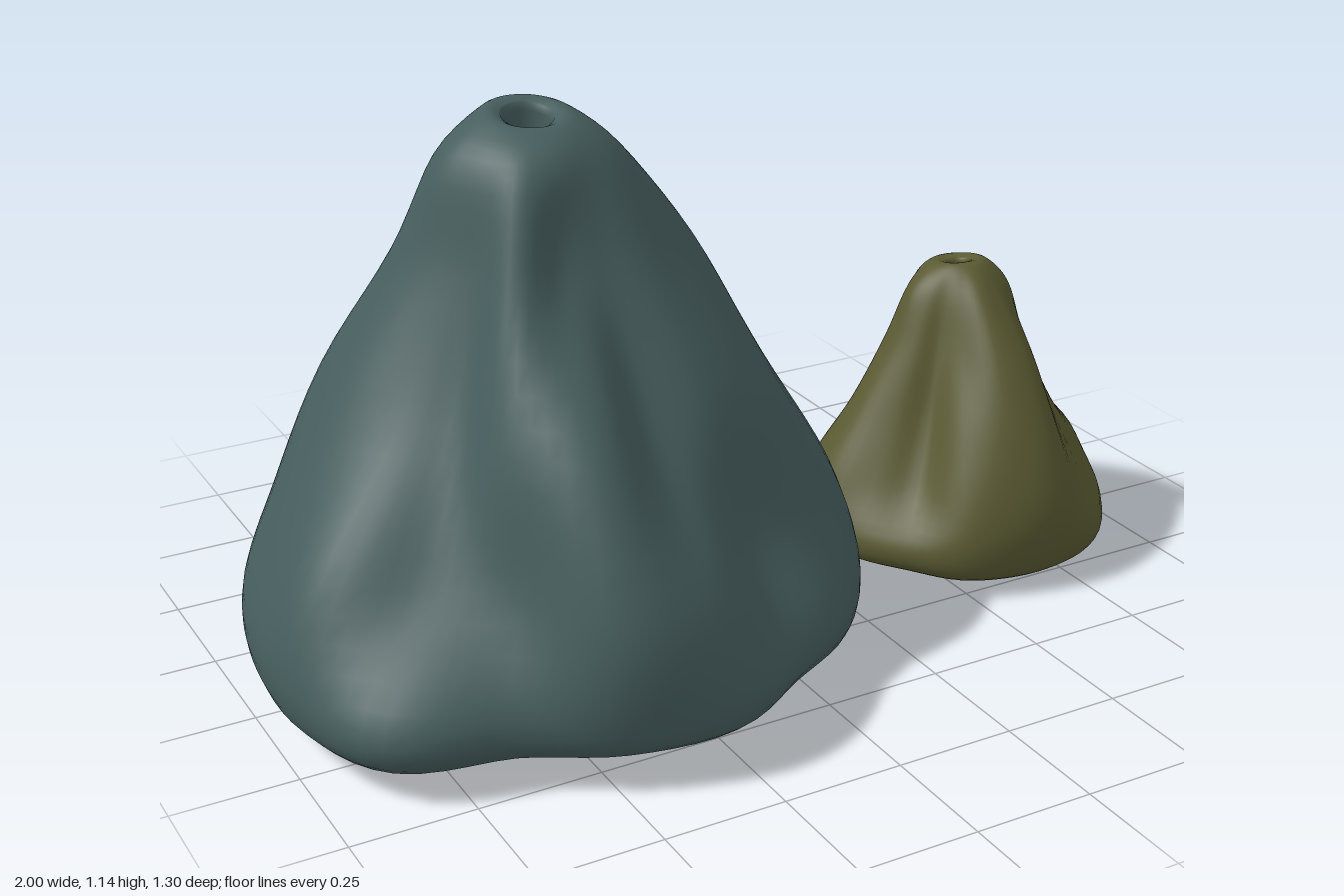
import * as THREE from 'three';

const COLUMNS = 90;

// Smooth periodic interpolation of values spaced evenly around the circle
function around(values, t) {
  const n = values.length, i = Math.floor(t * n), f = t * n - i;
  const [a, b, c, d] = [-1, 0, 1, 2].map(k => values[(i + k + n) % n]);
  return b + 0.5 * f * (c - a + f * (2 * a - 5 * b + 4 * c - d + f * (3 * (b - c) + d - a)));
}

// Lumpy mound with a shaft in its tip: rings[k] holds radii around the axis at heights[k]
function moundGeometry({ heights, rings, base, baseTilt, top, topTilt, topRadius, hole, pit }) {
  const positions = [], index = [];
  let rows = 0;
  for (let i = 0; i < COLUMNS; i++) {
    const t = i / COLUMNS, a = t * Math.PI * 2, s = Math.sin(a);
    const radii = rings.map(r => around(r, t));
    const yBase = base + baseTilt * s ** 3, yTop = top + topTilt * s;
    const skin = new THREE.SplineCurve([
      new THREE.Vector2(0, base + 0.01),
      new THREE.Vector2(radii[0] * 0.6, (yBase + base) / 2 + 0.005),
      new THREE.Vector2(radii[0] * 0.92, yBase),
      ...radii.map((r, k) => new THREE.Vector2(r, heights[k])),
      new THREE.Vector2(topRadius, yTop),
      new THREE.Vector2(hole * 1.1, yTop - hole * 0.1),
    ]).getPoints(45);
    // Shaft sunk into the tip
    const shaft = [[hole, yTop - hole * 0.4], [hole * 0.95, pit + hole], [hole * 0.9, pit], [0, pit]];
    const profile = [...skin.map(p => [p.x, p.y]), ...shaft];
    rows = profile.length;
    for (const [r, y] of profile) positions.push(r * Math.cos(a), y, r * s);
  }
  for (let i = 0; i < COLUMNS; i++) {
    const next = (i + 1) % COLUMNS;
    for (let j = 0; j < rows - 1; j++) {
      const a = i * rows + j, b = next * rows + j;
      index.push(a, a + 1, b, b, a + 1, b + 1);
    }
  }
  const g = new THREE.BufferGeometry();
  g.setAttribute('position', new THREE.Float32BufferAttribute(positions, 3));
  g.setIndex(index);
  g.computeVertexNormals();
  return g;
}

function makeMound(name, spec) {
  const group = new THREE.Group();
  group.name = name;
  const shell = new THREE.Mesh(moundGeometry(spec), new THREE.MeshStandardMaterial({ color: spec.color }));
  shell.name = name + 'Shell';
  // Ball resting at the bottom of the shaft
  const ball = new THREE.Mesh(
    new THREE.SphereGeometry(spec.hole * 0.9, 24, 16),
    new THREE.MeshStandardMaterial({ color: spec.ballColor }));
  ball.name = name + 'Ball';
  ball.position.y = spec.pit + spec.hole * 0.9;
  group.add(shell, ball);
  group.position.set(spec.x, 0, spec.z);
  return group;
}

export function createModel() {
  const model = new THREE.Group();
  model.name = 'moundPair';

  // Radii run from +x through +z, every 20 degrees
  model.add(makeMound('largeMound', {
    x: -0.38, z: -0.01, color: 0x475e5e, ballColor: 0x8a78d0,
    heights: [0.15, 0.35, 0.6, 0.85, 1.05],
    rings: [
      [.66, .66, .64, .61, .65, .63, .59, .67, .645, .61, .60, .61, .64, .65, .65, .63, .61, .62],
      [.60, .60, .54, .48, .58, .62, .49, .48, .57, .54, .53, .54, .55, .59, .61, .59, .55, .57],
      [.46, .46, .45, .41, .36, .48, .42, .33, .36, .40, .42, .43, .41, .43, .52, .49, .42, .43],
      [.33, .32, .29, .27, .23, .23, .28, .23, .23, .25, .27, .27, .24, .30, .40, .38, .30, .30],
      [.18, .18, .17, .16, .16, .17, .18, .17, .17, .18, .18, .17, .16, .19, .23, .22, .20, .18],
    ],
    base: 0.035, baseTilt: 0.03, top: 1.125, topTilt: -0.012, topRadius: 0.09, hole: 0.046, pit: 0.85,
  }));

  model.add(makeMound('smallMound', {
    x: 0.65, z: -0.04, color: 0x5a5a33, ballColor: 0xa8608a,
    heights: [0.1, 0.2, 0.33, 0.47, 0.59],
    rings: [
      [.35, .34, .34, .36, .36, .36, .36, .34, .35, .36, .35, .33, .325, .355, .355, .32, .35, .36],
      [.32, .29, .28, .31, .35, .35, .33, .26, .29, .33, .31, .28, .25, .32, .34, .27, .30, .33],
      [.20, .21, .21, .24, .30, .30, .26, .19, .22, .25, .23, .20, .18, .22, .28, .23, .17, .17],
      [.14, .15, .15, .18, .22, .22, .17, .14, .16, .17, .16, .14, .13, .14, .19, .19, .14, .12],
      [.10, .11, .11, .11, .12, .13, .11, .10, .11, .12, .11, .10, .10, .10, .12, .12, .11, .09],
    ],
    base: 0.038, baseTilt: -0.008, top: 0.642, topTilt: 0.006, topRadius: 0.06, hole: 0.025, pit: 0.5,
  }));
  return model;
}
